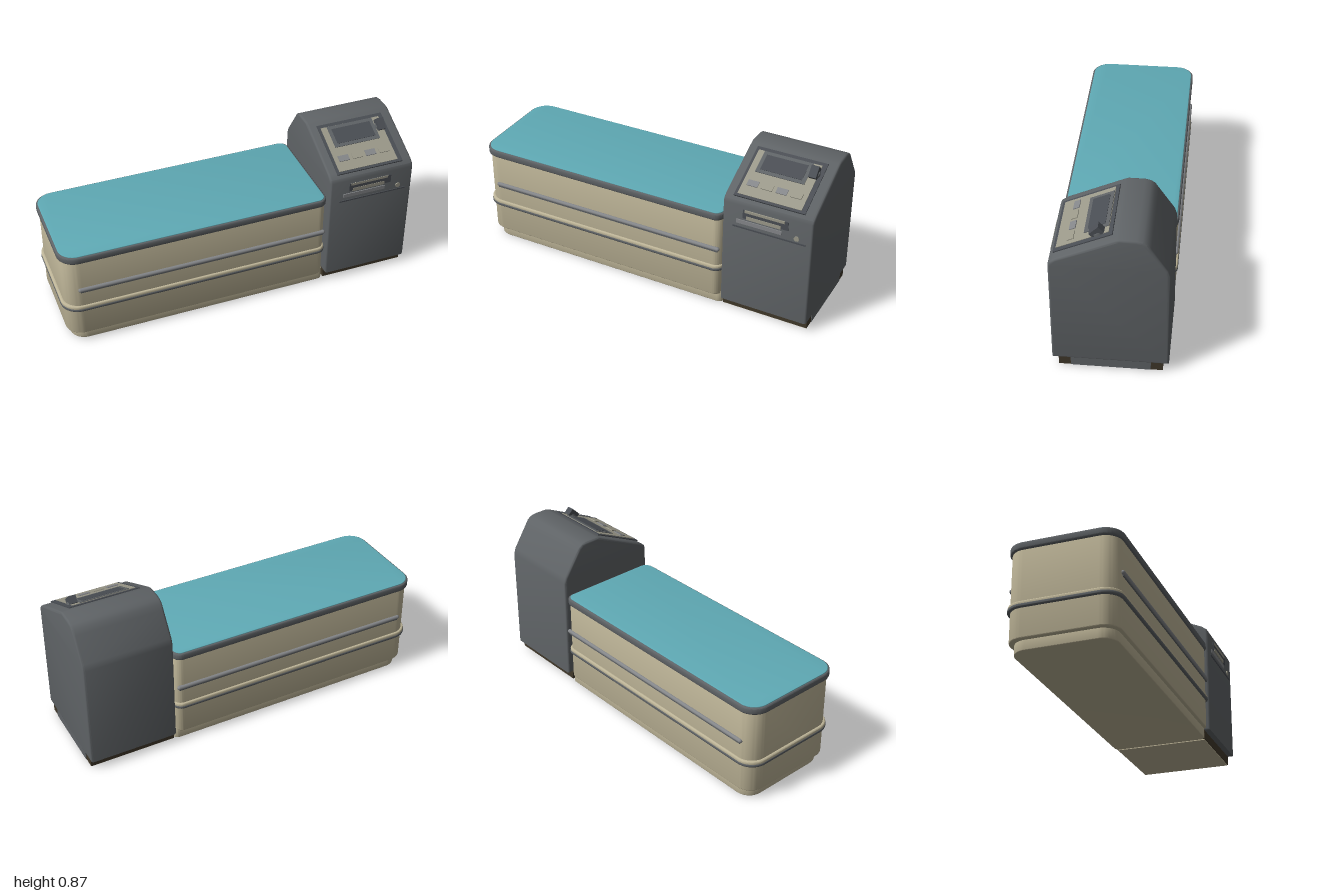
import * as THREE from 'three';
import { toCreasedNormals } from 'three/addons/utils/BufferGeometryUtils.js';

const mat = (name, color) => {
  const m = new THREE.MeshStandardMaterial({ color });
  m.name = name;
  return m;
};

export function createModel() {
  const root = new THREE.Group();
  const tan = mat('tan', 0xbdb497);
  const gray = mat('slate gray', 0x5f6366);
  const teal = mat('teal', 0x5faab5);
  const brown = mat('dark brown', 0x40382a);
  const steel = mat('steel', 0x85878a);
  const putty = mat('putty', 0x9b998a);
  const dark = mat('dark screen', 0x4a4e54);

  const add = (name, geo, material, parent = root, x = 0, y = 0, z = 0) => {
    const m = new THREE.Mesh(geo, material);
    m.name = name;
    m.position.set(x, y, z);
    parent.add(m);
    return m;
  };
  const box = (name, w, h, d, material, parent, x, y, z) =>
    add(name, new THREE.BoxGeometry(w, h, d), material, parent, x, y, z);

  // Extrusion with a soft bevel that stays inside the outline
  const extrude = (shape, depth, b) => toCreasedNormals(new THREE.ExtrudeGeometry(shape, {
    depth: depth - 2 * b, bevelEnabled: b > 0, bevelSize: b, bevelThickness: b,
    bevelOffset: -b, bevelSegments: 3, curveSegments: 8,
  }).translate(0, 0, b), 0.6);

  // Horizontal slab with separate corner radii at its two ends
  const slab = (name, x0, x1, hz, y0, y1, rL, rR, b, material) => {
    const s = new THREE.Shape();
    s.moveTo(x0 + rL, -hz);
    s.lineTo(x1 - rR, -hz);
    s.absarc(x1 - rR, -hz + rR, rR, -Math.PI / 2, 0);
    s.absarc(x1 - rR, hz - rR, rR, 0, Math.PI / 2);
    s.absarc(x0 + rL, hz - rL, rL, Math.PI / 2, Math.PI);
    s.absarc(x0 + rL, -hz + rL, rL, Math.PI, Math.PI * 1.5);
    return add(name, extrude(s, y1 - y0, b).rotateX(-Math.PI / 2), material, root, 0, y0, 0);
  };

  // Conveyor counter
  slab('counterPlinth', -0.96, 0.5, 0.272, 0, 0.07, 0.085, 0.03, 0.004, tan);
  slab('counterBody', -0.985, 0.492, 0.292, 0.055, 0.545, 0.09, 0.045, 0.006, tan);
  slab('counterBelt', -0.998, 0.498, 0.303, 0.222, 0.25, 0.098, 0.05, 0.007, tan);
  slab('beltStripe', -1, 0.499, 0.305, 0.217, 0.235, 0.1, 0.05, 0.005, gray);
  slab('topRim', -0.998, 0.496, 0.303, 0.537, 0.577, 0.1, 0.05, 0.008, gray);
  slab('conveyorTop', -0.988, 0.486, 0.293, 0.57, 0.581, 0.09, 0.042, 0.003, teal);
  box('consoleJoint', 0.05, 0.47, 0.44, gray, root, 0.495, 0.3, 0);

  // Bumper rails on both long sides, with mounts
  for (const side of [1, -1]) {
    const rail = new THREE.CapsuleGeometry(0.012, 1.38, 4, 10).rotateZ(Math.PI / 2);
    add('bumperRail', rail, steel, root, -0.215, 0.358, side * 0.294);
    box('railBacking', 1.38, 0.012, 0.008, gray, root, -0.215, 0.346, side * 0.294);
  }

  // Console housing, side profile swept across its width (shape x is -z)
  const profile = [
    [0.3, 0.055], [0.3, 0.675], [0.293, 0.695], [0.265, 0.716], [-0.03, 0.854],
    [-0.048, 0.86], [-0.13, 0.86], [-0.16, 0.853], [-0.182, 0.838], [-0.2, 0.81],
    [-0.283, 0.685], [-0.294, 0.65], [-0.297, 0.055],
  ];
  const housing = new THREE.Shape(profile.map(([z, y]) => new THREE.Vector2(-z, y)));
  add('consoleHousing', extrude(housing, 0.495, 0.012).rotateY(Math.PI / 2), gray, root, 0.502, 0, 0);

  // Console base
  box('consoleBase', 0.485, 0.055, 0.534, brown, root, 0.747, 0.033, 0);
  box('baseUnderside', 0.475, 0.006, 0.524, tan, root, 0.747, 0.003, 0);
  box('baseSidePanel', 0.01, 0.055, 0.41, gray, root, 0.988, 0.034, 0);

  // Control panel lying on the sloped face
  const panel = new THREE.Group();
  panel.name = 'controlPanel';
  panel.position.set(0.745, 0.782, 0.13);
  panel.rotation.x = Math.atan2(0.138, 0.295);
  root.add(panel);
  box('panelSurround', 0.39, 0.008, 0.32, dark, panel, 0, -0.001, 0.005);
  box('panelPlate', 0.35, 0.009, 0.285, putty, panel, -0.005, 0.001, 0.008);
  box('screenFrame', 0.27, 0.012, 0.135, gray, panel, -0.01, 0.003, -0.065);
  box('screen', 0.23, 0.004, 0.095, dark, panel, -0.01, 0.009, -0.065);
  for (let i = 0; i < 4; i++) {
    box('keyRow', 0.06, 0.008, 0.035, i % 2 ? putty : steel, panel, -0.125 + i * 0.08, 0.006, 0.075);
  }

  // Payment handle at the panel's edge
  const handle = box('keyHandle', 0.042, 0.042, 0.065, dark, panel, 0.152, 0.018, -0.075);
  handle.rotation.x = 0.35;
  add('keyBarrel', new THREE.CylinderGeometry(0.026, 0.03, 0.02, 14), gray, panel, 0.152, 0.006, -0.075);

  // Receipt slot on the upright front
  box('slotBezel', 0.25, 0.05, 0.008, dark, root, 0.74, 0.63, 0.3);
  box('slotLip', 0.22, 0.014, 0.012, putty, root, 0.735, 0.648, 0.3);
  box('slotTray', 0.19, 0.02, 0.012, putty, root, 0.73, 0.612, 0.3);
  box('lowerTrim', 0.25, 0.022, 0.01, steel, root, 0.705, 0.58, 0.3);
  box('lowerTrimShade', 0.4, 0.008, 0.008, dark, root, 0.76, 0.545, 0.3);
  const button = new THREE.CylinderGeometry(0.014, 0.014, 0.012, 14).rotateX(Math.PI / 2);
  add('button', button, putty, root, 0.912, 0.572, 0.3);

  return root;
}
